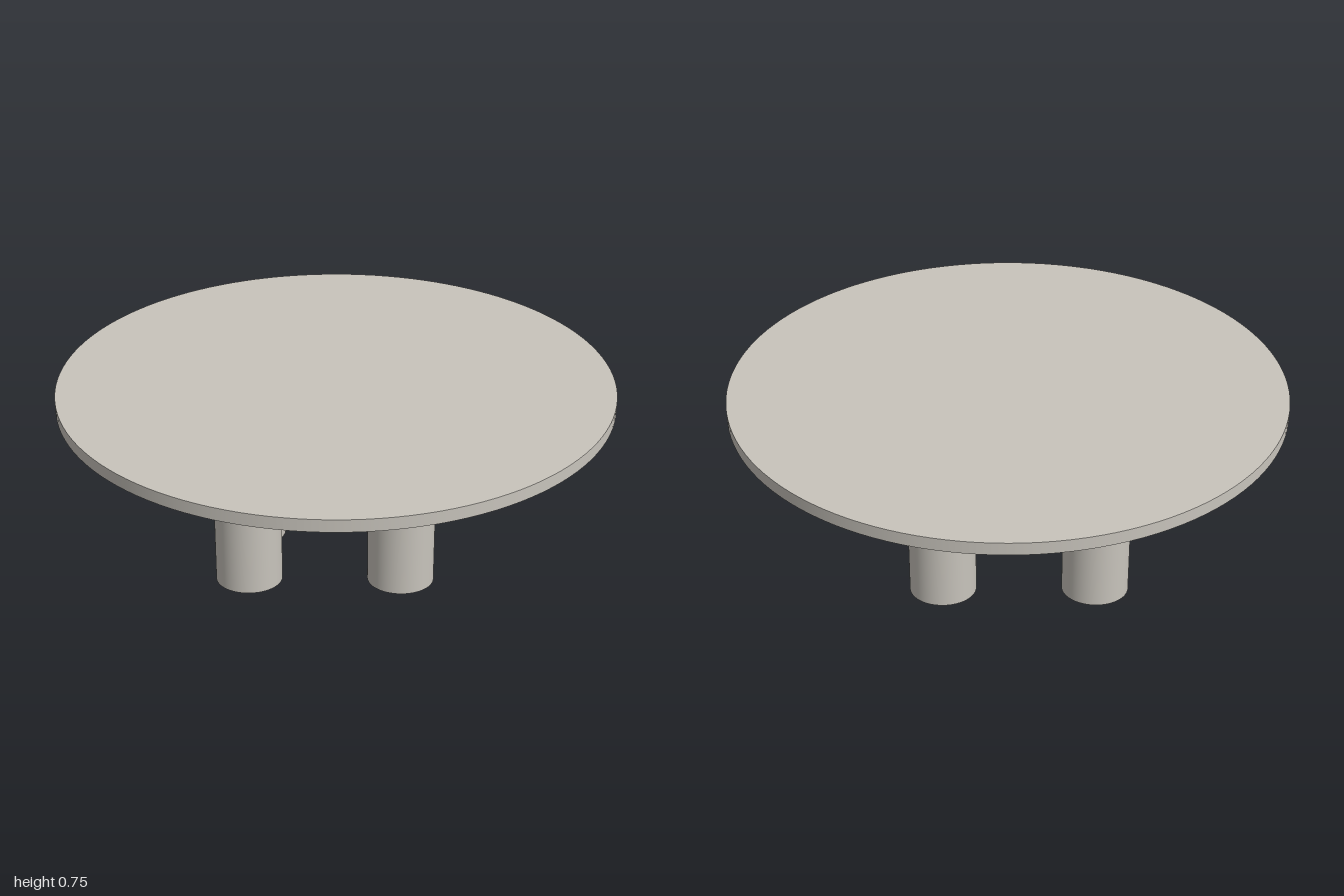
import * as THREE from 'three';

export function createModel() {
  const model = new THREE.Group();
  model.name = 'roundTable';

  const stone = new THREE.MeshStandardMaterial({ color: 0xc8c4bc });
  stone.name = 'warm grey';

  const legHeight = 0.7;
  const topThickness = 0.045;

  // Round table top
  const top = new THREE.Mesh(new THREE.CylinderGeometry(1, 1, topThickness, 128), stone);
  top.name = 'tableTop';
  top.position.y = legHeight + topThickness / 2;
  model.add(top);

  // Four slightly oval column legs, set a little off centre
  const legGeometry = new THREE.CylinderGeometry(1, 1, legHeight, 64);
  legGeometry.scale(0.123, 1, 0.114);
  for (const [x, side] of [[-0.32, 'Right'], [0.24, 'Left']]) {
    for (const [z, end] of [[0.137, 'front'], [-0.203, 'back']]) {
      const leg = new THREE.Mesh(legGeometry, stone);
      leg.name = `${end}${side}Leg`;
      leg.position.set(x, legHeight / 2, z);
      model.add(leg);
    }
  }

  return model;
}
